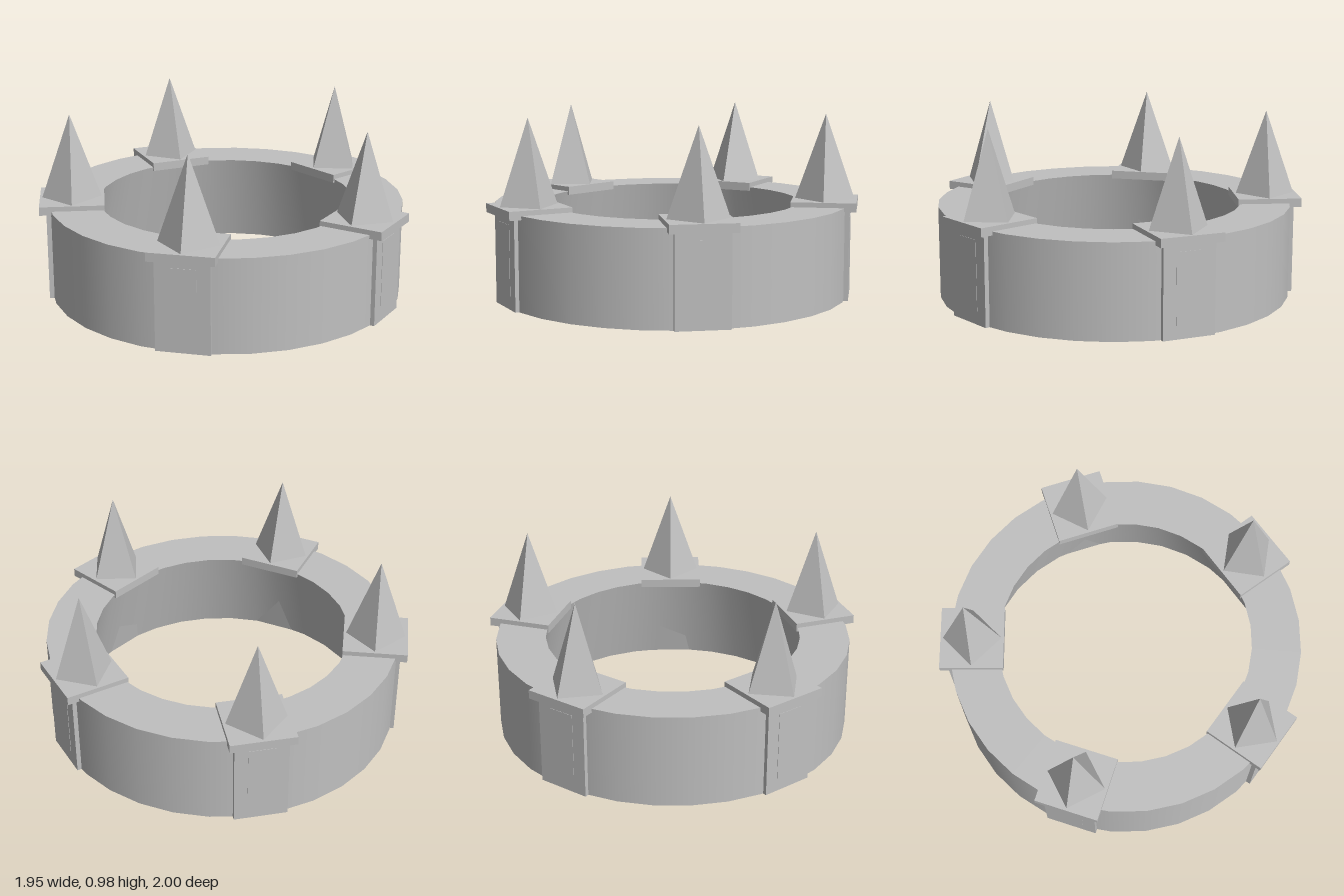
import * as THREE from 'three';

const CENTER_X = -0.025;
const OUTER = 0.95, INNER_TOP = 0.685, INNER_BOTTOM = 0.8;
const HEIGHT = 0.497;

const stone = new THREE.MeshStandardMaterial({ color: 0xc0c0c0, side: THREE.DoubleSide });
stone.name = 'grey stone';

function part(name, geometry, x = 0, y = 0, z = 0) {
  const mesh = new THREE.Mesh(geometry, stone);
  mesh.name = name;
  mesh.position.set(x, y, z);
  return mesh;
}

// One smooth surface of the ring, turned from a straight line
function ringSurface(name, r0, y0, r1, y1) {
  const line = [new THREE.Vector2(r0, y0), new THREE.Vector2(r1, y1)];
  return part(name, new THREE.LatheGeometry(line, 32));
}

// Hollow pier, open below: four walls between a bottom and a top rectangle
function pierGeometry(inBottom, inTop, out, halfWidth, height) {
  const rect = (inner, y) => [
    [out, y, halfWidth], [out, y, -halfWidth], [inner, y, -halfWidth], [inner, y, halfWidth],
  ];
  const low = rect(inBottom, 0), high = rect(inTop, height);
  const positions = [];
  for (let i = 0; i < 4; i++) {
    const j = (i + 1) % 4;
    positions.push(...low[i], ...low[j], ...high[j], ...low[i], ...high[j], ...high[i]);
  }
  const geometry = new THREE.BufferGeometry();
  geometry.setAttribute('position', new THREE.Float32BufferAttribute(positions, 3));
  geometry.computeVertexNormals();
  return geometry;
}

// Pier, panel, cap plate and four-sided spike, facing local +x
function createTower() {
  const tower = new THREE.Group();
  tower.name = 'tower';
  const spike = new THREE.ConeGeometry(0.158, 0.452, 4).toNonIndexed();
  spike.computeVertexNormals();
  tower.add(
    part('pier', pierGeometry(0.79, 0.7, 0.96, 0.14, 0.48)),
    part('pierPanel', new THREE.BoxGeometry(0.004, 0.37, 0.14), 0.96, 0.255, 0),
    part('capPlate', new THREE.BoxGeometry(0.342, 0.046, 0.342), 0.825, 0.5, 0),
    part('spike', spike, 0.825, 0.749, 0),
  );
  return tower;
}

export function createModel() {
  const model = new THREE.Group();
  model.name = 'spikedRing';

  // Ring band, open underneath, with an inner wall that leans inwards
  const band = new THREE.Group();
  band.name = 'band';
  band.position.x = CENTER_X;
  band.add(
    ringSurface('outerWall', OUTER, 0, OUTER, HEIGHT),
    ringSurface('bandTop', OUTER, HEIGHT, INNER_TOP, HEIGHT),
    ringSurface('innerWall', INNER_TOP, HEIGHT, INNER_BOTTOM, 0),
  );
  model.add(band);

  // Five towers spaced evenly around the ring
  for (let i = 0; i < 5; i++) {
    const tower = createTower();
    tower.position.x = CENTER_X;
    tower.rotation.y = (i * Math.PI * 2) / 5;
    model.add(tower);
  }
  return model;
}
